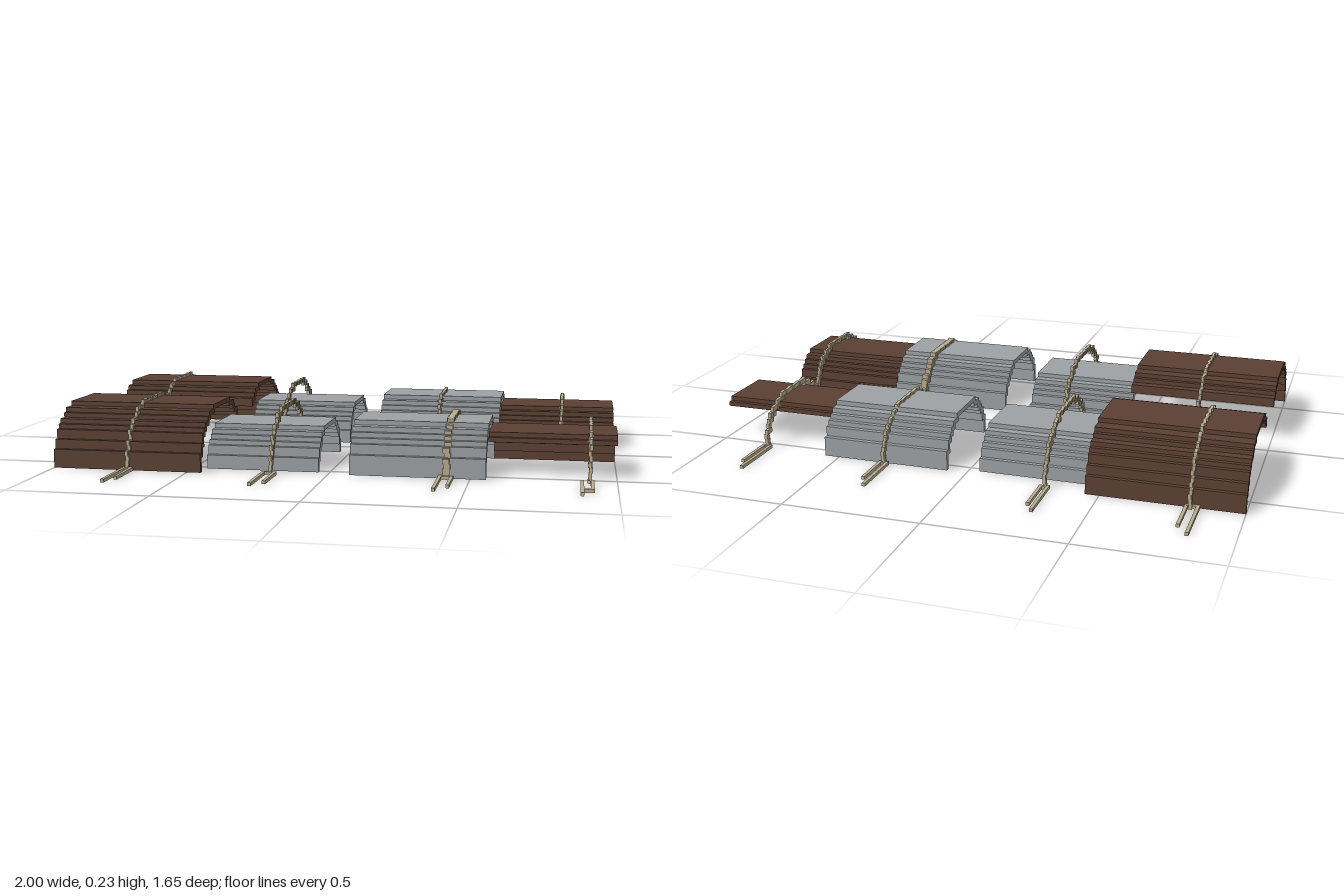
import * as THREE from 'three';
import { mergeGeometries } from 'three/addons/utils/BufferGeometryUtils.js';

const mat = (name, color) => {
  const m = new THREE.MeshStandardMaterial({ color });
  m.name = name;
  return m;
};

const box = (w, h, d, x, y, z) => new THREE.BoxGeometry(w, h, d).translate(x, y, z);

// Stepped half-ring of square bars lying along x, kept where |z| is in [keep0, keep1]
function steppedArch({ x, width, zIn, zOut, height, keep0 = 0, keep1 = 1, wobble = 0, side }) {
  const centre = (zIn + zOut) / 2, radius = (zOut - zIn) / 2;
  const rows = Math.round(height / 0.0175), cy = height / rows;
  const cols = Math.round((radius - cy / 2) / cy), cz = (radius - cy / 2) / cols;
  const seen = new Set(), bars = [];
  for (let i = 0; i <= 400; i++) {
    const a = (i / 400) * Math.PI;
    const col = Math.round(cols * Math.cos(a));
    const row = Math.min(rows - 1, Math.floor((rows - 0.5) * Math.sin(a) + 0.5));
    const z = centre + col * cz;
    const key = col + ',' + row;
    if (seen.has(key) || z < keep0 || z > keep1) continue;
    seen.add(key);
    const dx = wobble * ((bars.length % 3) - 1);
    bars.push(box(width, cy, cz, x + dx, (row + 0.5) * cy, side * z));
  }
  return mergeGeometries(bars);
}

export function createModel() {
  const model = new THREE.Group();
  const rust = mat('rust brown', 0x5c4033);
  const steel = mat('steel grey', 0x9da1a4);
  const cord = mat('tan cord', 0xb9ad8f);

  const add = (parent, name, geometry, material) => {
    const mesh = new THREE.Mesh(geometry, material);
    mesh.name = name;
    parent.add(mesh);
  };

  // Corrugated sheets: two of them stop short of the ground on one edge
  const sheets = [
    { name: 'largeBrownSheet', m: rust, x0: -1, x1: -0.45, zIn: 0.042, zOut: 0.605, height: 0.22, keep0: 0.105 },
    { name: 'lowGreySheet', m: steel, x0: -0.45, x1: -0.04, zIn: 0.1, zOut: 0.522, height: 0.15 },
    { name: 'highGreySheet', m: steel, x0: 0.075, x1: 0.555, zIn: 0.125, zOut: 0.55, height: 0.18 },
    { name: 'smallBrownSheet', m: rust, x0: 0.555, x1: 1, zIn: 0.125, zOut: 0.54, height: 0.15, keep1: 0.462 },
  ];

  // Straps: arch plus two ground prongs given as [x, zStart, zEnd], joined at bar z
  const straps = {
    front: [
      { x: -0.72, zIn: 0.03, zOut: 0.615, height: 0.232, prongs: [[-0.731, 0.6, 0.825], [-0.705, 0.61, 0.77]], bar: 0.615 },
      { x: -0.197, zIn: 0.04, zOut: 0.6, height: 0.22, prongs: [[-0.222, 0.59, 0.795], [-0.182, 0.59, 0.755]], bar: 0.597 },
      { x: 0.418, width: 0.024, zIn: 0.08, zOut: 0.56, height: 0.192, prongs: [[0.397, 0.55, 0.77], [0.438, 0.56, 0.71]], bar: 0.565 },
      { x: 0.908, zIn: 0.1, zOut: 0.55, height: 0.18, prongs: [[0.882, 0.55, 0.755], [0.916, 0.54, 0.7]], bar: 0.694, foot: 0.545 },
    ],
    back: [
      { x: -0.815, zIn: 0.035, zOut: 0.625, height: 0.232, prongs: [[-0.842, 0.605, 0.83], [-0.803, 0.62, 0.775]], bar: 0.611 },
      { x: -0.305, zIn: 0.045, zOut: 0.605, height: 0.22, prongs: [[-0.317, 0.595, 0.805], [-0.292, 0.6, 0.76]], bar: 0.605 },
      { x: 0.314, zIn: 0.09, zOut: 0.575, height: 0.19, prongs: [[0.301, 0.565, 0.775], [0.327, 0.57, 0.72]], bar: 0.57 },
      { x: 0.797, zIn: 0.09, zOut: 0.55, height: 0.18, prongs: [[0.786, 0.54, 0.76], [0.811, 0.54, 0.705]], bar: 0.547 },
    ],
  };

  const T = 0.012; // strap thickness
  for (const [row, side] of [['front', 1], ['back', -1]]) {
    const group = new THREE.Group();
    group.name = row + 'Row';
    model.add(group);

    for (const s of sheets) {
      const geo = steppedArch({ ...s, x: (s.x0 + s.x1) / 2, width: s.x1 - s.x0, side });
      add(group, s.name, geo, s.m);
    }

    for (const s of straps[row]) {
      const strap = new THREE.Group();
      strap.name = 'strap';
      group.add(strap);
      add(strap, 'strapArch', steppedArch({ width: T, wobble: 0.002, ...s, side }), cord);
      const parts = s.prongs.map(([x, a, b]) => box(T, T, b - a, x, T / 2, (side * (a + b)) / 2));
      const [xa, xb] = [s.prongs[0][0], s.prongs[1][0]];
      parts.push(box(xb - xa + T, T, T, (xa + xb) / 2, T / 2, side * s.bar));
      if (s.foot) parts.push(box(T, T, T, s.x, T / 2, side * s.foot));
      add(strap, 'groundProngs', mergeGeometries(parts), cord);
    }
  }
  return model;
}
